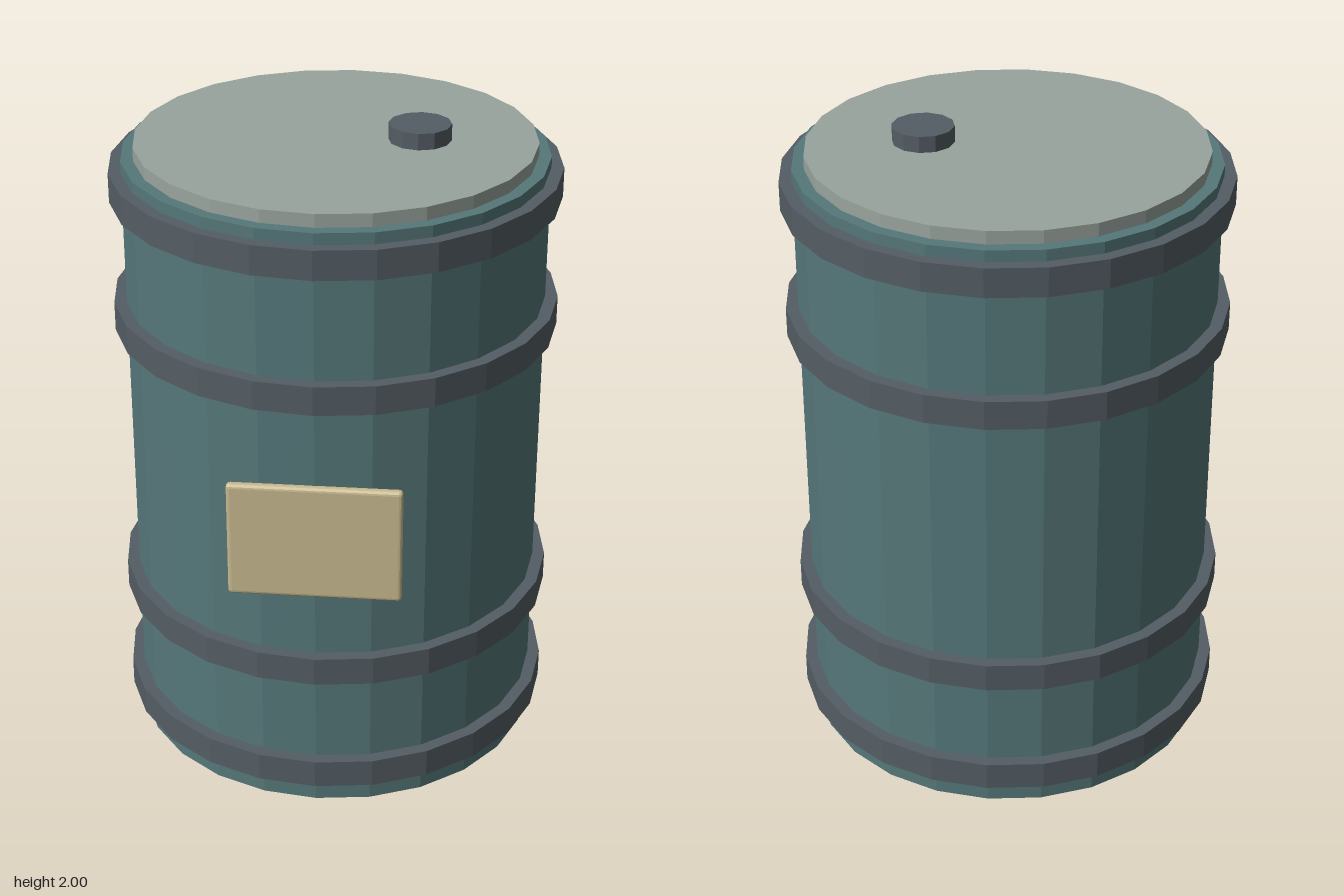
import * as THREE from 'three';
import { RoundedBoxGeometry } from 'three/addons/geometries/RoundedBoxGeometry.js';

const material = (color) => new THREE.MeshStandardMaterial({ color, flatShading: true });

export function createModel() {
  const barrel = new THREE.Group();
  barrel.name = 'barrel';
  const teal = material(0x557779);
  const steel = material(0x545d64);
  const pale = material(0x99a49d);
  const cream = material(0xc8b98f);

  // Upright faceted cylinder between two heights
  function drum(name, radius, bottom, top, sides, mat, x = 0) {
    const mesh = new THREE.Mesh(new THREE.CylinderGeometry(radius, radius, top - bottom, sides), mat);
    mesh.position.set(x, (bottom + top) / 2, 0);
    mesh.name = name;
    barrel.add(mesh);
  }

  drum('body', 0.64, 0, 1.91, 24, teal);
  drum('lid', 0.602, 1.9, 1.95, 24, pale);
  drum('bungCap', 0.094, 1.94, 2, 12, steel, 0.25);

  // Reinforcing hoops
  [0.12, 0.5, 1.415, 1.83].forEach((y, i) => drum(`hoop${i + 1}`, 0.678, y - 0.045, y + 0.045, 24, steel));

  // Label plate on the front
  const plate = new THREE.Mesh(new RoundedBoxGeometry(0.515, 0.37, 0.03, 2, 0.012), cream);
  plate.position.set(0, 0.938, 0.646);
  plate.name = 'labelPlate';
  barrel.add(plate);

  return barrel;
}
